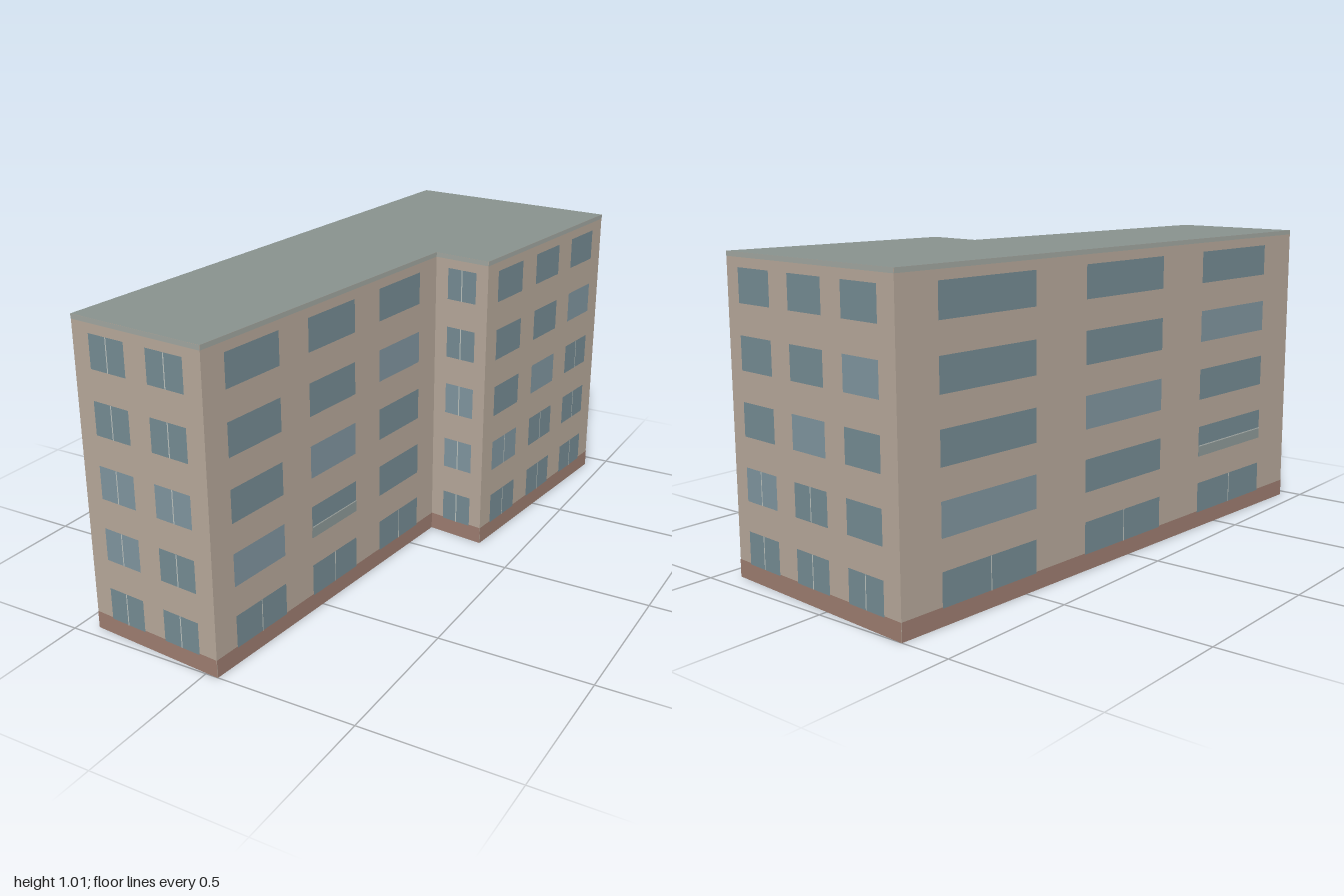
import * as THREE from 'three';

const HEIGHT = 1.013, CORNICE = 0.015, PLINTH = 0.058;
const FLOORS = 5, SILL = 0.054, PITCH = 0.202, WINDOW_H = 0.106;

const material = (color, side = THREE.FrontSide) => new THREE.MeshStandardMaterial({ color, side });
const mats = {
  wall: material(0xb5a799, THREE.DoubleSide),
  plinth: material(0x9c7c6f),
  roof: material(0x87918d, THREE.DoubleSide),
  cornice: material(0xa0a59f),
  glass: material(0x748a92),
  paleGlass: material(0x7f949e),
  frame: material(0xb9c0bb),
  panel: material(0x8c9897),
};

// Footprint corners (x, z), walked so that every wall faces outwards
const corners = [
  [-0.437, 0.957], [0.042, 1], [0.15, -0.143],
  [0.35, -0.117], [0.435, -0.932], [-0.33, -1],
];

// Window centres and width as fractions of the wall;
// split: how many storeys, counted from the ground, have a centre mullion
const three = { centres: [0.178, 0.495, 0.81], width: 0.2 };
const facades = [
  { name: 'frontWall', centres: [0.277, 0.727], width: 0.281, split: [5, 5] },
  { name: 'rightFrontWall', ...three, split: [1, 1, 1], balcony: 1 },
  { name: 'stepWall', centres: [0.512], width: 0.54, split: [5] },
  { name: 'rightRearWall', ...three, split: [2, 2, 3] },
  { name: 'backWall', ...three, split: [2, 2, 1] },
  { name: 'leftWall', ...three, split: [1, 1, 1], balcony: 2 },
];

// Flat rectangle on a wall: x centre, bottom y, distance in front of the wall
function panel(parent, name, mat, x, y, w, h, out) {
  const mesh = new THREE.Mesh(new THREE.PlaneGeometry(w, h), mat);
  mesh.name = name;
  mesh.position.set(x, y + h / 2, out);
  parent.add(mesh);
}

function buildFacade(spec, [x0, z0], [x1, z1]) {
  const wall = new THREE.Group();
  wall.name = spec.name;
  const length = Math.hypot(x1 - x0, z1 - z0);
  wall.position.set(x0, 0, z0);
  wall.rotation.y = Math.atan2(z0 - z1, x1 - x0);

  panel(wall, 'wallSurface', mats.wall, length / 2, 0, length, HEIGHT, 0);
  panel(wall, 'plinth', mats.plinth, length / 2, 0, length, PLINTH, 0.001);
  panel(wall, 'cornice', mats.cornice, length / 2, HEIGHT - CORNICE, length, CORNICE, 0.001);

  spec.centres.forEach((centre, col) => {
    const x = centre * length, w = spec.width * length;
    for (let floor = 0; floor < FLOORS; floor++) {
      const y = SILL + floor * PITCH;
      const glass = floor === col + 1 || (spec.split[col] === FLOORS && floor === 2)
        ? mats.paleGlass : mats.glass;
      panel(wall, 'window', glass, x, y, w, WINDOW_H, 0.002);
      if (floor < spec.split[col]) panel(wall, 'mullion', mats.frame, x, y, 0.004, WINDOW_H, 0.003);
    }
    // Low guard panel with a rail in front of one first-floor window
    if (spec.balcony === col) {
      const y = SILL + PITCH;
      panel(wall, 'guardPanel', mats.panel, x, y, w, 0.038, 0.003);
      panel(wall, 'guardRail', mats.frame, x, y + 0.036, w, 0.004, 0.004);
    }
  });
  return wall;
}

export function createModel() {
  const building = new THREE.Group();
  building.name = 'building';

  facades.forEach((spec, i) =>
    building.add(buildFacade(spec, corners[i], corners[(i + 1) % corners.length])));

  // Flat roof over the footprint
  const outline = new THREE.Shape(corners.map(([x, z]) => new THREE.Vector2(x, -z)));
  const roof = new THREE.Mesh(new THREE.ShapeGeometry(outline), mats.roof);
  roof.name = 'roof';
  roof.rotation.x = -Math.PI / 2;
  roof.position.y = HEIGHT;
  building.add(roof);

  return building;
}
